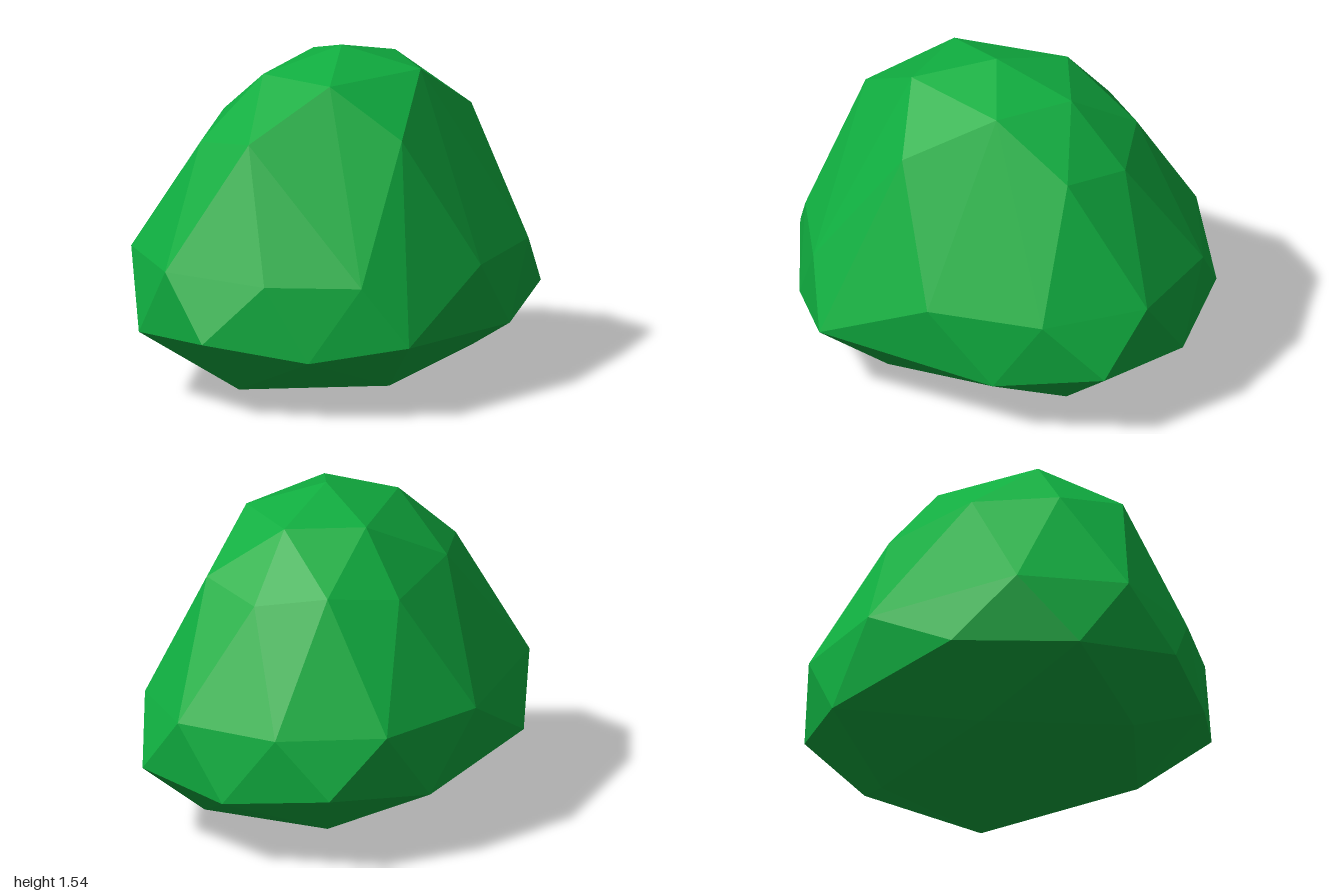
import * as THREE from 'three';
import { ConvexGeometry } from 'three/addons/geometries/ConvexGeometry.js';

// Faceted stone described as level rings of corners, from the crown to the underside.
const crown = [[0.02, 1.54, 0.03]];
const upperRing = [
  [0.41, 1.44, 0.03], [0.21, 1.44, -0.28], [-0.31, 1.44, -0.16], [-0.31, 1.44, 0.22], [0.2, 1.44, 0.34],
];
const shoulderRing = [
  [0.69, 1.16, 0.03], [0.57, 1.21, -0.28], [0.3, 1.16, -0.5], [-0.2, 1.21, -0.47], [-0.59, 1.16, -0.3],
  [-0.66, 1.21, 0.03], [-0.18, 1.21, 0.53], [0.57, 1.21, 0.34],
];
const waistRing = [
  [0.95, 0.64, 0.28], [0.95, 0.64, -0.22], [0.67, 0.64, -0.64], [0.13, 0.64, -0.8], [-0.66, 0.64, -0.64],
  [-0.95, 0.64, -0.22], [-0.84, 0.62, 0.26], [-0.59, 0.62, 0.62], [0.09, 0.62, 0.77], [0.61, 0.62, 0.635],
];
const lowerRing = [
  [0.99, 0.31, 0.03], [0.88, 0.37, -0.46], [0.43, 0.31, -0.73], [-0.37, 0.37, -0.77], [-0.86, 0.31, -0.44],
  [-1, 0.35, 0.03], [-0.76, 0.28, 0.45], [-0.46, 0.345, 0.79], [0.39, 0.28, 0.7], [0.86, 0.355, 0.51],
];
const footRing = [
  [0.57, 0.09, 0.35], [0.57, 0.11, -0.28], [-0.25, 0.11, -0.46], [-0.73, 0.09, 0.03], [-0.26, 0.09, 0.52],
];
const base = [[-0.1, 0, 0.03]];

export function createModel() {
  const group = new THREE.Group();
  group.name = 'bush';

  const leafGreen = new THREE.MeshStandardMaterial({ color: 0x10ae40, flatShading: true });
  leafGreen.name = 'leaf green';

  // The convex skin over the rings gives the flat facets
  const corners = [crown, upperRing, shoulderRing, waistRing, lowerRing, footRing, base]
    .flat()
    .map(([x, y, z]) => new THREE.Vector3(x, y, z));
  const foliage = new THREE.Mesh(new ConvexGeometry(corners), leafGreen);
  foliage.name = 'foliage';
  group.add(foliage);
  return group;
}
